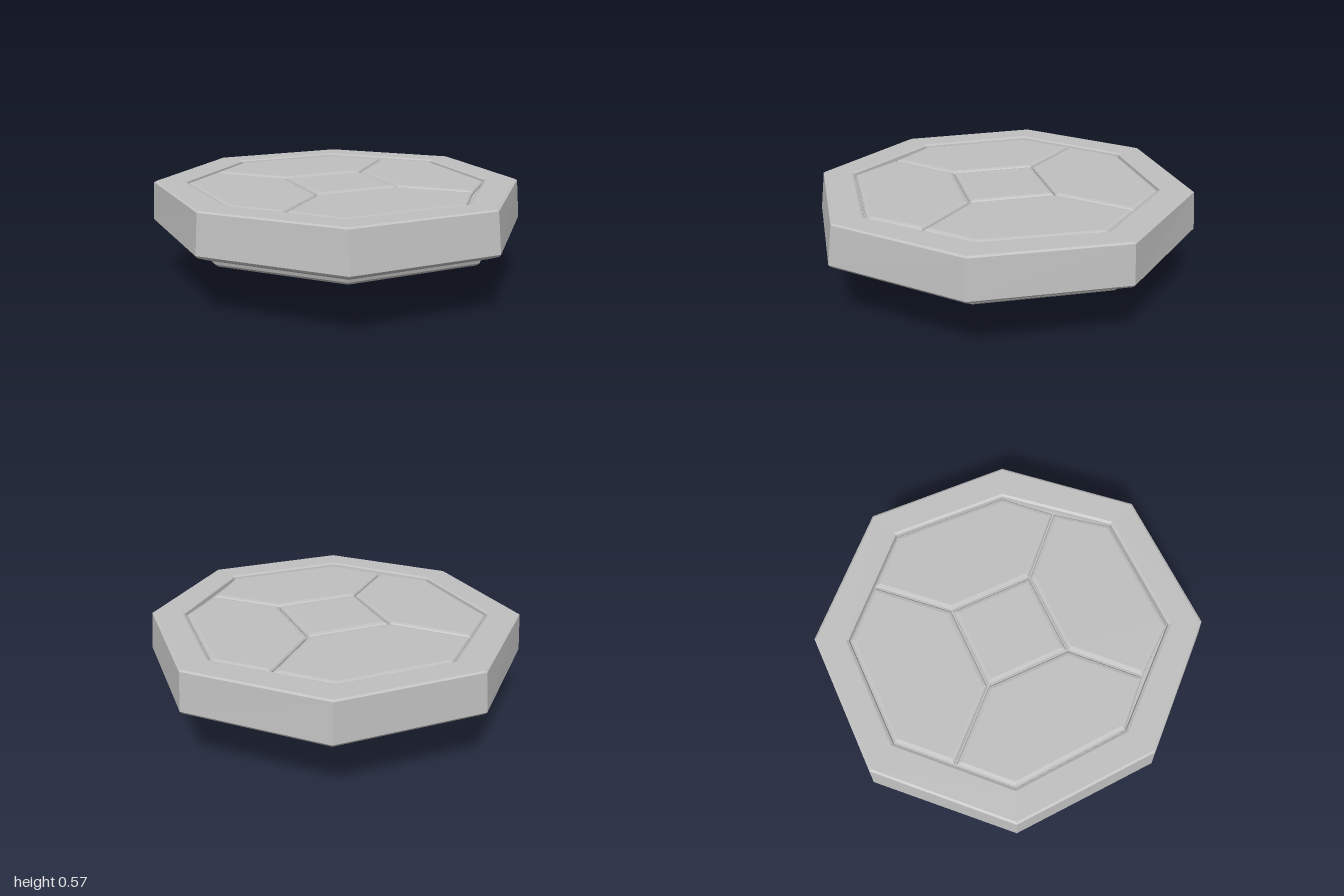
import * as THREE from 'three';

// Mirror a right-hand outline (back to front) into a full loop, counter-clockwise from above
function mirrored(half) {
  const left = half.map(([x, z]) => [-x, z]);
  return [...left, ...half.slice().reverse()];
}

const scaled = (loop, s) => loop.map(([x, z]) => [x * s, z * s]);

// Move every edge of a convex loop inward by d
function inset(loop, d) {
  const n = loop.length;
  return loop.map((p, i) => {
    const a = loop[(i + n - 1) % n], b = loop[(i + 1) % n];
    const u = new THREE.Vector2(p[0] - a[0], p[1] - a[1]).normalize();
    const v = new THREE.Vector2(b[0] - p[0], b[1] - p[1]).normalize();
    const n1 = [u.y, -u.x], n2 = [v.y, -v.x];
    const k = d / (1 + n1[0] * n2[0] + n1[1] * n2[1]);
    return [p[0] + (n1[0] + n2[0]) * k, p[1] + (n1[1] + n2[1]) * k];
  });
}

// Skin a list of { loop, y } sections and close both ends, with flat facets
function loft(sections) {
  const pos = [];
  const rings = sections.map(({ loop, y }) => loop.map(([x, z]) => [x, y, z]));
  const tri = (a, b, c) => pos.push(...a, ...b, ...c);
  const n = rings[0].length;
  for (let r = 0; r < rings.length - 1; r++) {
    for (let i = 0; i < n; i++) {
      const j = (i + 1) % n, a = rings[r], b = rings[r + 1];
      tri(a[i], a[j], b[j]);
      tri(a[i], b[j], b[i]);
    }
  }
  const first = rings[0], last = rings[rings.length - 1];
  for (let i = 1; i < n - 1; i++) {
    tri(first[0], first[i + 1], first[i]);
    tri(last[0], last[i], last[i + 1]);
  }
  const g = new THREE.BufferGeometry();
  g.setAttribute('position', new THREE.Float32BufferAttribute(pos, 3));
  g.computeVertexNormals();
  return g;
}

export function createModel() {
  const stone = new THREE.MeshStandardMaterial({ color: 0xc0c0c0 });
  stone.name = 'grey stone';
  const model = new THREE.Group();
  model.name = 'octagonalPlatform';
  const add = (name, geometry) => {
    const mesh = new THREE.Mesh(geometry, stone);
    mesh.name = name;
    model.add(mesh);
    return mesh;
  };

  // Outlines: widest edge, top edge and the recess that holds the panels
  const outer = mirrored([[0.41, -1], [0.982, -0.42], [0.955, 0.4], [0.41, 1]]);
  const top = mirrored([[0.4, -0.985], [0.968, -0.415], [0.938, 0.392], [0.405, 0.972]]);
  const recess = mirrored([[0.315, -0.815], [0.795, -0.34], [0.765, 0.312], [0.34, 0.795]]);

  // Thick rim, chamfered below and recessed on top
  add('rim', loft([
    { loop: scaled(outer, 0.85), y: 0.318 },
    { loop: scaled(outer, 0.935), y: 0.318 },
    { loop: scaled(outer, 0.99), y: 0.342 },
    { loop: outer, y: 0.355 },
    { loop: top, y: 0.568 },
    { loop: inset(top, 0.012), y: 0.575 },
    { loop: inset(recess, -0.018), y: 0.574 },
    { loop: inset(recess, -0.004), y: 0.567 },
    { loop: recess, y: 0.545 },
  ]));

  // Bevelled top panels separated by narrow grooves
  const panel = (name, loop) => add(name, loft([
    { loop: inset(loop, 0.004), y: 0.54 },
    { loop: inset(loop, 0.005), y: 0.554 },
    { loop: inset(loop, 0.012), y: 0.562 },
    { loop: inset(loop, 0.028), y: 0.566 },
  ]));
  const b = 0.24, f = 0.235;
  panel('centrePanel', [[b, -b], [-b, -b], [-b, f], [b, f]]);
  panel('backPanel', mirrored([[0.315, -0.815], [0.557, -0.575], [b, -b]]));
  panel('frontPanel', mirrored([[b, f], [0.547, 0.535], [0.34, 0.795]]));
  const side = [[b, -b], [b, f], [0.547, 0.535], [0.765, 0.312], [0.795, -0.34], [0.557, -0.575]];
  panel('leftPanel', side);
  panel('rightPanel', side.map(([x, z]) => [-x, z]).reverse());

  // Shallow bowl underneath, with a raised ring around a sunken plate
  add('bowl', loft([
    { loop: scaled(outer, 0.275), y: 0.102 },
    { loop: scaled(outer, 0.28), y: 0.09 },
    { loop: scaled(outer, 0.365), y: 0.09 },
    { loop: scaled(outer, 0.387), y: 0.103 },
    { loop: scaled(outer, 0.87), y: 0.27 },
    { loop: scaled(outer, 0.887), y: 0.285 },
    { loop: scaled(outer, 0.897), y: 0.32 },
  ]));

  // Four-sided point at the bottom
  const spike = new THREE.ConeGeometry(0.105 * Math.SQRT2, 0.105, 4, 1).toNonIndexed();
  spike.rotateY(Math.PI / 4).rotateX(Math.PI);
  spike.computeVertexNormals();
  add('bottomPoint', spike).position.y = 0.0525;

  return model;
}
